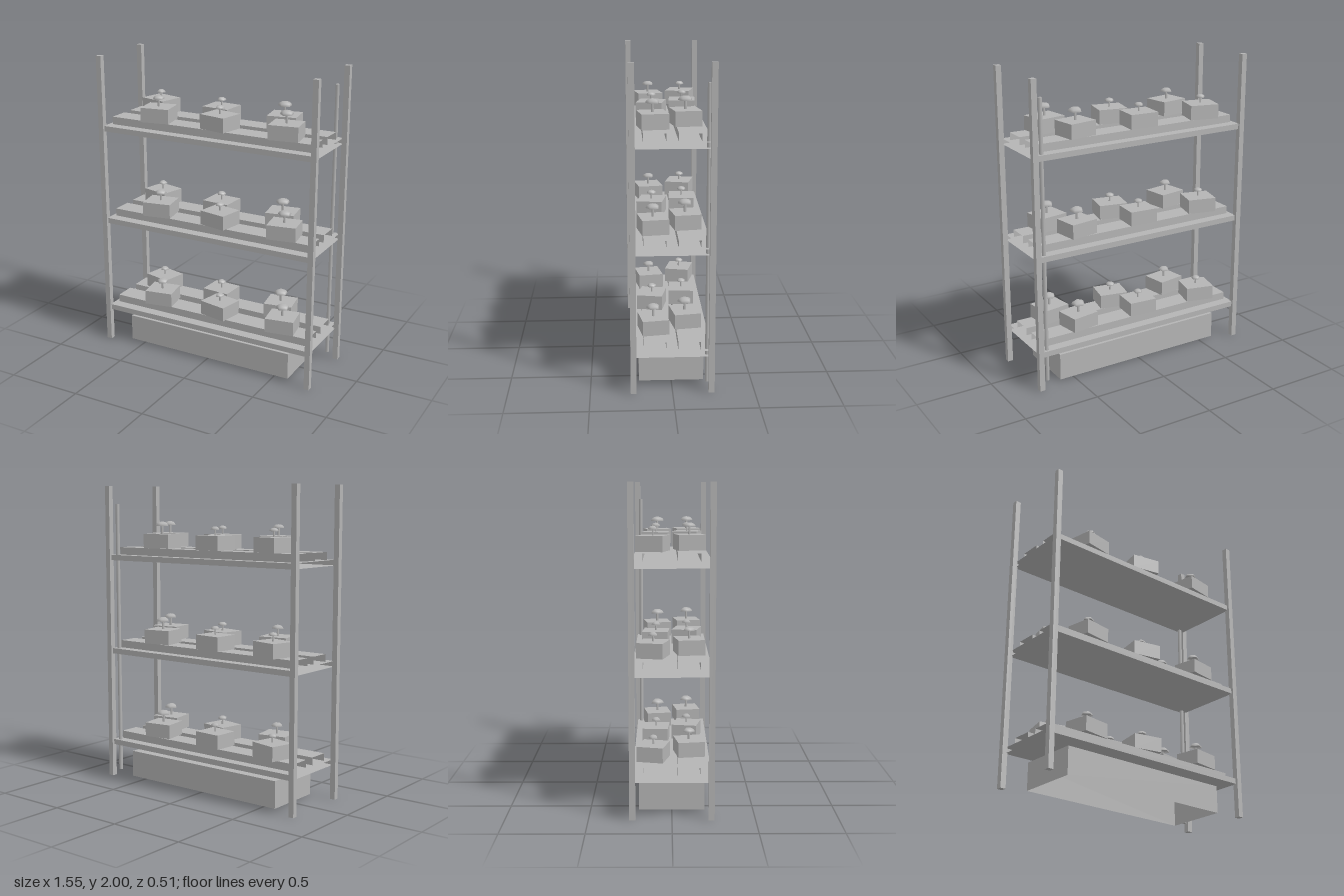
import * as THREE from 'three';

const grey = new THREE.MeshStandardMaterial({ color: 0xb4b4b4, side: THREE.DoubleSide });
grey.name = 'plain grey';

function add(parent, name, geometry, x, y, z) {
  const mesh = new THREE.Mesh(geometry, grey);
  mesh.name = name;
  mesh.position.set(x, y, z);
  parent.add(mesh);
  return mesh;
}

// Box with some faces left out; face order is +x, -x, +y, -y, +z, -z
function openBox(w, h, d, missing) {
  const g = new THREE.BoxGeometry(w, h, d);
  const index = Array.from(g.index.array);
  g.setIndex(index.filter((_, i) => !missing.includes(Math.floor(i / 6))));
  g.clearGroups();
  return g;
}

// x, z, turn, cap radius, cap height, stem length
const plantings = [
  [-0.517, -0.113, -0.24, 0.030, 0.021, 0.036],
  [-0.398, 0.108, 0.17, 0.039, 0.024, 0.048],
  [-0.05, -0.1, -0.07, 0.030, 0.021, 0.036],
  [0.047, 0.101, -0.2, 0.031, 0.021, 0.036],
  [0.404, -0.095, 0.16, 0.046, 0.029, 0.053],
  [0.512, 0.108, 0.16, 0.044, 0.028, 0.053],
];

function createPlanting([x, z, turn, r, capHeight, stem]) {
  const group = new THREE.Group();
  group.name = 'mushroomBlock';
  group.position.set(x, 0, z);
  group.rotation.y = turn;
  const blockHeight = 0.094;
  add(group, 'substrateBlock', new THREE.BoxGeometry(0.19, blockHeight, 0.166), 0, blockHeight / 2, 0);
  add(group, 'mushroomStem', new THREE.CylinderGeometry(r * 0.17, r * 0.2, stem, 5), 0, blockHeight + stem / 2, 0);
  const cap = new THREE.SphereGeometry(r, 5, 3, 0, Math.PI * 2, 0, Math.PI / 2);
  cap.scale(1, capHeight / r, 1);
  add(group, 'mushroomCap', cap, 0, blockHeight + stem, 0);
  return group;
}

function createTier(y) {
  const tier = new THREE.Group();
  tier.name = 'shelfTier';
  tier.position.y = y;
  // Shelf and trays are hollow and open at both ends
  add(tier, 'shelf', openBox(1.49, 0.036, 0.48, [0, 1]), 0, 0.018, 0);
  for (const z of [-0.105, 0.103])
    add(tier, 'tray', openBox(1.44, 0.05, 0.136, [0, 1]), 0, 0.061, z);
  const blocks = new THREE.Group();
  blocks.name = 'mushroomBlocks';
  blocks.position.y = 0.087;
  plantings.forEach((p) => blocks.add(createPlanting(p)));
  tier.add(blocks);
  return tier;
}

export function createModel() {
  const model = new THREE.Group();
  model.name = 'growingRack';

  // Corner posts
  for (const x of [-0.757, 0.757])
    for (const z of [-0.237, 0.237])
      add(model, 'post', new THREE.BoxGeometry(0.036, 2, 0.036), x, 1, z);

  for (const y of [0.222, 0.862, 1.502]) model.add(createTier(y));

  // Water tank, open underneath, with a small round cap
  add(model, 'waterTank', openBox(1.2, 0.177, 0.4, [3]), 0, 0.0985, 0);
  add(model, 'tankCap', new THREE.CylinderGeometry(0.042, 0.042, 0.019, 12), 0.238, 0.1955, 0.08);

  // Upright supply pipe at the back
  add(model, 'supplyPipe', new THREE.CylinderGeometry(0.013, 0.013, 1.835, 8), 0.701, 0.9625, -0.214);

  return model;
}
